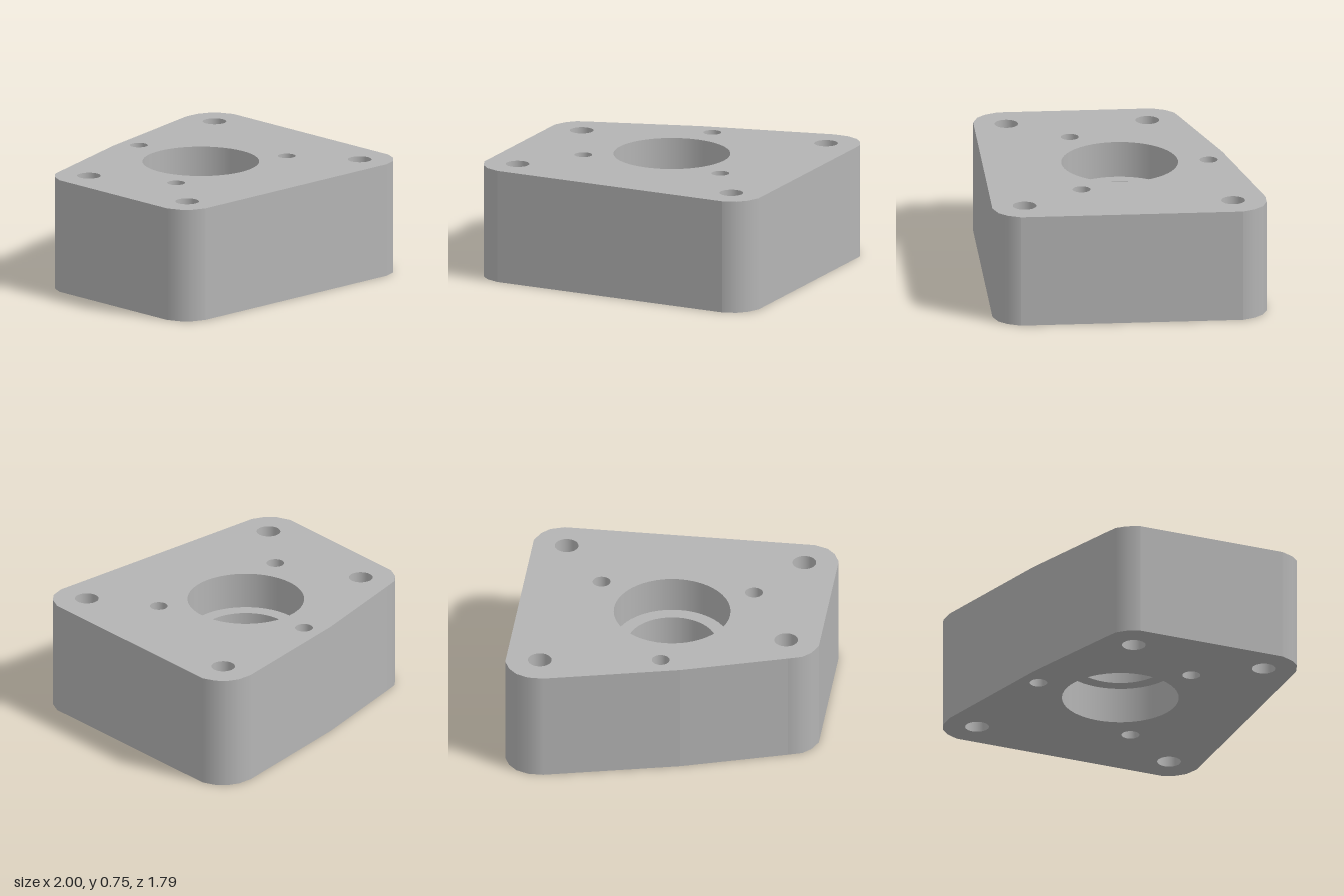
import * as THREE from 'three';

const HEIGHT = 0.75;
const BORE = 0.38;
const LIP = 0.29;

// Hole centres as [x, z]
const bolts = [[-0.78, 0.68], [0.78, 0.68], [0.78, -0.68], [-0.78, -0.24]];
const screws = [[0, -0.58], [-0.5, 0.287], [0.5, 0.287]];

// Round surfaces as [x, z, reach]; the bolt reach also takes in the block's rounded corners
const rounds = [
  [0, 0, 0.4],
  ...bolts.map(([x, z]) => [x, z, 0.25]),
  ...screws.map(([x, z]) => [x, z, 0.07]),
];

// Block outline in x, z
const outline = [
  [-0.82, 0.893], [0.82, 0.893], [0.91, 0.86], [0.963, 0.805], [1, 0.72],
  [1, -0.73], [0.963, -0.81], [0.91, -0.865], [0.83, -0.897], [0.73, -0.897],
  [-0.14, -0.682], [-0.82, -0.457], [-0.91, -0.425], [-0.963, -0.37], [-1, -0.286],
  [-1, 0.72], [-0.963, 0.805], [-0.91, 0.86],
];

function circle(x, z, r) {
  return new THREE.Path().absarc(x, z, r, 0, Math.PI * 2, false);
}

// Give walls that belong to one round surface smooth radial normals
function smoothRounds(geometry) {
  const p = geometry.attributes.position;
  const n = geometry.attributes.normal;
  for (let i = 0; i < p.count; i += 3) {
    if (Math.abs(n.getY(i)) > 0.5) continue;
    const corners = [i, i + 1, i + 2];
    const round = rounds.find(([x, z, reach]) =>
      corners.every((j) => Math.hypot(p.getX(j) - x, p.getZ(j) - z) < reach));
    if (!round) continue;
    for (const j of corners) {
      const radial = new THREE.Vector3(p.getX(j) - round[0], 0, p.getZ(j) - round[1]).normalize();
      if (radial.x * n.getX(j) + radial.z * n.getZ(j) < 0) radial.negate();
      n.setXYZ(j, radial.x, 0, radial.z);
    }
  }
  return geometry;
}

// Upright extrusion of a plan shape between two heights
function plate(shape, bottom, top) {
  const geometry = new THREE.ExtrudeGeometry(shape, {
    depth: top - bottom, bevelEnabled: false, curveSegments: 24,
  });
  geometry.rotateX(Math.PI / 2).translate(0, top, 0);
  return smoothRounds(geometry);
}

export function createModel() {
  const group = new THREE.Group();
  group.name = 'bearingBlock';
  const metal = new THREE.MeshStandardMaterial({ color: 0xb4b4b4 });
  metal.name = 'grey metal';

  // Main block with its bore, bolt holes and screw holes
  const plan = new THREE.Shape(outline.map(([x, z]) => new THREE.Vector2(x, z)));
  plan.holes.push(circle(0, 0, BORE));
  bolts.forEach(([x, z]) => plan.holes.push(circle(x, z, 0.077)));
  screws.forEach(([x, z]) => plan.holes.push(circle(x, z, 0.058)));
  const block = new THREE.Mesh(plate(plan, 0, HEIGHT), metal);
  block.name = 'block';
  group.add(block);

  // Inner shoulder halfway down the bore
  const ring = new THREE.Shape().absarc(0, 0, BORE, 0, Math.PI * 2, false);
  ring.holes.push(circle(0, 0, LIP));
  const shoulder = new THREE.Mesh(plate(ring, 0.24, 0.51), metal);
  shoulder.name = 'boreShoulder';
  group.add(shoulder);

  return group;
}
